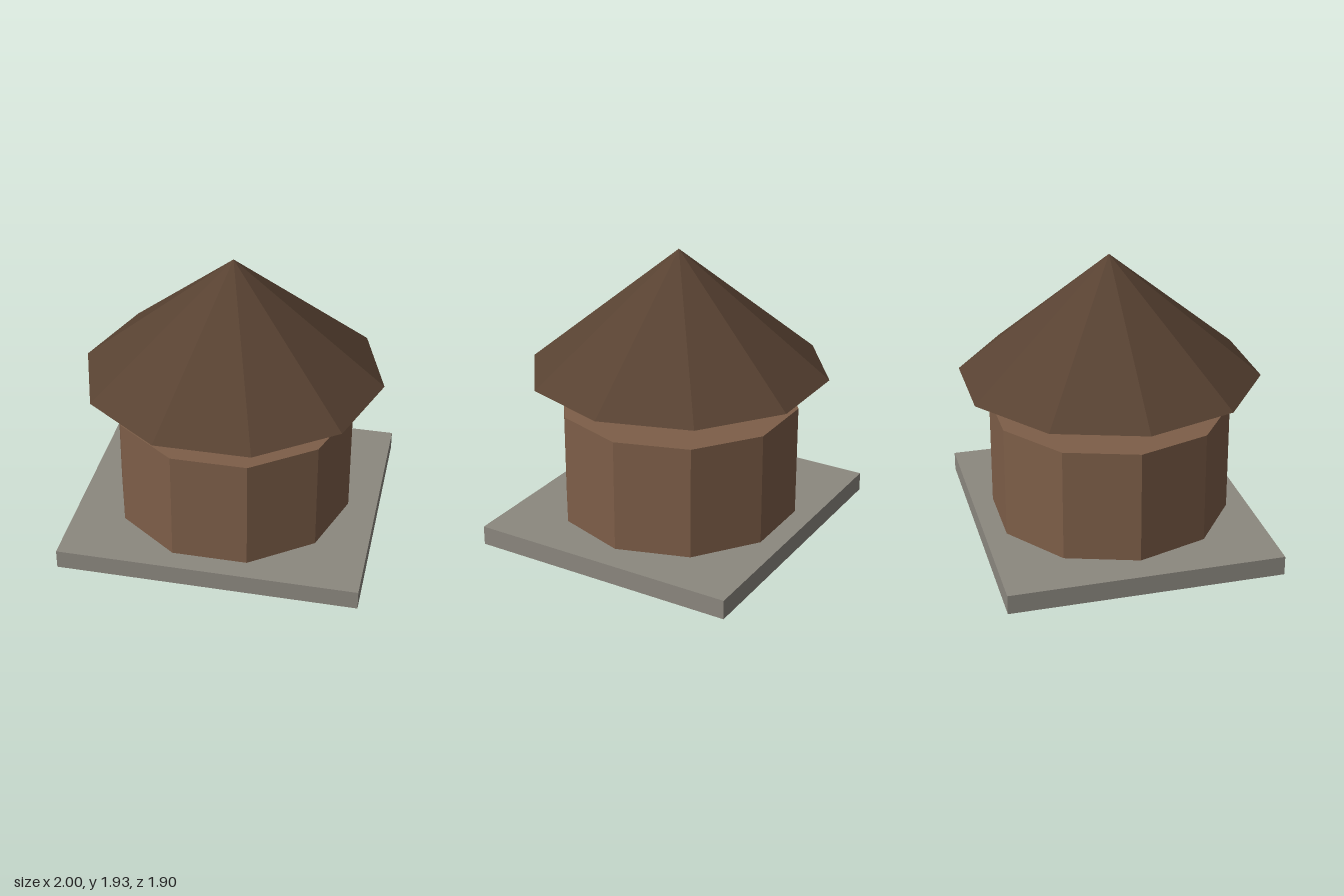
import * as THREE from 'three';

const SIDES = 10;

export function createModel() {
  const model = new THREE.Group();
  model.name = 'roundHut';

  const paint = (name, color) => {
    const material = new THREE.MeshStandardMaterial({ color, flatShading: true });
    material.name = name;
    return material;
  };
  const stone = paint('greyStone', 0x8c887f);
  const wall = paint('brownWall', 0x7d5e48);
  const thatch = paint('darkThatch', 0x584232);
  const wood = paint('postWood', 0x5a3a28);

  const add = (name, geometry, material, x, y, z) => {
    const mesh = new THREE.Mesh(geometry, material);
    mesh.name = name;
    mesh.position.set(x, y, z);
    model.add(mesh);
  };

  // Square stone foundation
  add('foundation', new THREE.BoxGeometry(2, 0.13, 1.82), stone, 0, 0.065, 0);

  // Ten-sided wall drum with a corner on the x axis
  add('wallDrum', new THREE.CylinderGeometry(0.805, 0.805, 0.76, SIDES, 1, false, Math.PI / 2),
    wall, 0, 0.51, 0);

  // Ring of posts buried in the wall and foundation
  const postGeometry = new THREE.CylinderGeometry(0.045, 0.045, 0.86, 6);
  for (let i = 0; i < 8; i++) {
    const a = (i / 8) * Math.PI * 2;
    add(`post${i + 1}`, postGeometry, wood, 0.7 * Math.cos(a), 0.431, 0.7 * Math.sin(a));
  }

  // Ten-sided pointed roof floating above the wall, closed underneath
  add('roof', new THREE.ConeGeometry(1, 0.82, SIDES, 1, false, Math.PI / 2), thatch, 0, 1.52, 0);

  return model;
}
